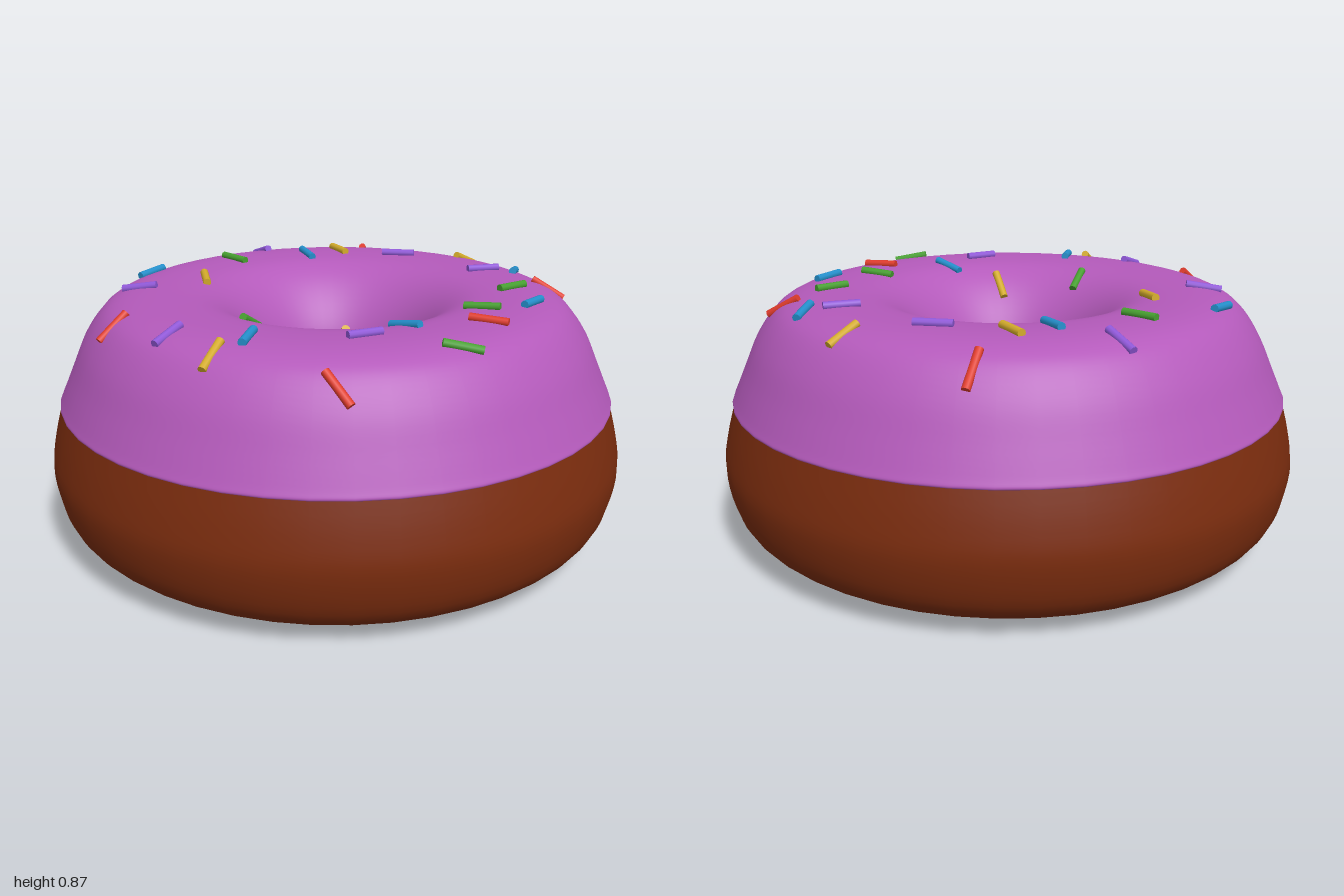
import * as THREE from 'three';

const material = (color) => new THREE.MeshStandardMaterial({ color });

// Smooth curve through [radius, height] points
const profile = (points, count) =>
  new THREE.SplineCurve(points.map(([r, y]) => new THREE.Vector2(r, y))).getPoints(count);

// Dough: up the outside from the hole, round the flat base
const doughProfile = profile([
  [0.222, 0.5], [0.225, 0.34], [0.245, 0.2], [0.29, 0.1], [0.36, 0.04], [0.46, 0.01],
  [0.63, 0], [0.79, 0.02], [0.9, 0.06], [0.97, 0.135], [1, 0.27], [0.985, 0.38], [0.952, 0.5],
], 48);

// Icing: from the outer lip, over the top and down into the hole
const icingProfile = profile([
  [0.95, 0.486], [0.961, 0.494], [0.95, 0.52], [0.915, 0.6], [0.87, 0.7], [0.815, 0.78],
  [0.76, 0.822], [0.68, 0.842], [0.57, 0.845], [0.46, 0.832], [0.37, 0.785],
  [0.29, 0.7], [0.238, 0.6], [0.222, 0.49],
], 56);

// Height of the icing at a given radius
function icingHeight(r) {
  for (let i = 3; i < icingProfile.length - 1; i++) {
    const a = icingProfile[i], b = icingProfile[i + 1];
    if (r <= a.x && r >= b.x) return a.y + ((b.y - a.y) * (a.x - r)) / (a.x - b.x);
  }
  return 0.5;
}

// Sprinkle ends seen from above: x1, z1, x2, z2
const sprinkles = {
  red: { color: 0xe03c2c, ends: [
    [-0.246, -0.815, -0.24, -0.715], [0.57, -0.44, 0.68, -0.46], [0.55, 0.165, 0.675, 0.155],
    [-0.465, 0.57, -0.505, 0.665], [0.33, 0.72, 0.425, 0.745]] },
  yellow: { color: 0xd4ac2b, ends: [
    [0.23, -0.77, 0.195, -0.665], [-0.31, -0.58, -0.215, -0.51], [0.145, 0.28, 0.21, 0.345],
    [-0.525, 0.03, -0.45, 0.125], [-0.02, 0.705, -0.015, 0.815]] },
  green: { color: 0x47a030, ends: [
    [0.52, -0.22, 0.575, -0.325], [-0.61, -0.24, -0.49, -0.2], [0.48, 0.02, 0.6, 0.01],
    [0.565, 0.43, 0.675, 0.38], [-0.11, 0.34, -0.11, 0.435]] },
  blue: { color: 0x2590cc, ends: [
    [-0.39, -0.47, -0.3, -0.39], [0.45, -0.62, 0.475, -0.505], [0.66, -0.055, 0.68, -0.17],
    [0.33, 0.27, 0.445, 0.31], [-0.73, 0, -0.75, 0.115], [0.02, 0.585, 0.05, 0.7]] },
  purple: { color: 0x9058d8, ends: [
    [-0.08, -0.565, 0.04, -0.6], [-0.62, -0.49, -0.52, -0.425], [0.32, -0.45, 0.41, -0.53],
    [0.3, 0.515, 0.37, 0.425], [-0.675, 0.315, -0.56, 0.275], [-0.21, 0.635, -0.225, 0.75]] },
};

// Small rod laid along the icing between two ends
function makeSprinkle([x1, z1, x2, z2], mat) {
  const lift = 0.008;
  const a = new THREE.Vector3(x1, icingHeight(Math.hypot(x1, z1)) + lift, z1);
  const b = new THREE.Vector3(x2, icingHeight(Math.hypot(x2, z2)) + lift, z2);
  const rod = new THREE.Mesh(new THREE.CylinderGeometry(0.014, 0.014, a.distanceTo(b), 10), mat);
  rod.position.lerpVectors(a, b, 0.5);
  rod.quaternion.setFromUnitVectors(new THREE.Vector3(0, 1, 0), b.clone().sub(a).normalize());
  return rod;
}

export function createModel() {
  const model = new THREE.Group();
  model.name = 'doughnut';

  const dough = new THREE.Mesh(new THREE.LatheGeometry(doughProfile, 48), material(0x7a2c0e));
  dough.name = 'dough';
  const icing = new THREE.Mesh(new THREE.LatheGeometry(icingProfile, 48), material(0xb45abb));
  icing.name = 'icing';
  model.add(dough, icing);

  // Sprinkles grouped by colour
  for (const [name, { color, ends }] of Object.entries(sprinkles)) {
    const group = new THREE.Group();
    group.name = `${name}Sprinkles`;
    const mat = material(color);
    ends.forEach((pair, i) => {
      const rod = makeSprinkle(pair, mat);
      rod.name = `${name}Sprinkle${i + 1}`;
      group.add(rod);
    });
    model.add(group);
  }
  return model;
}
